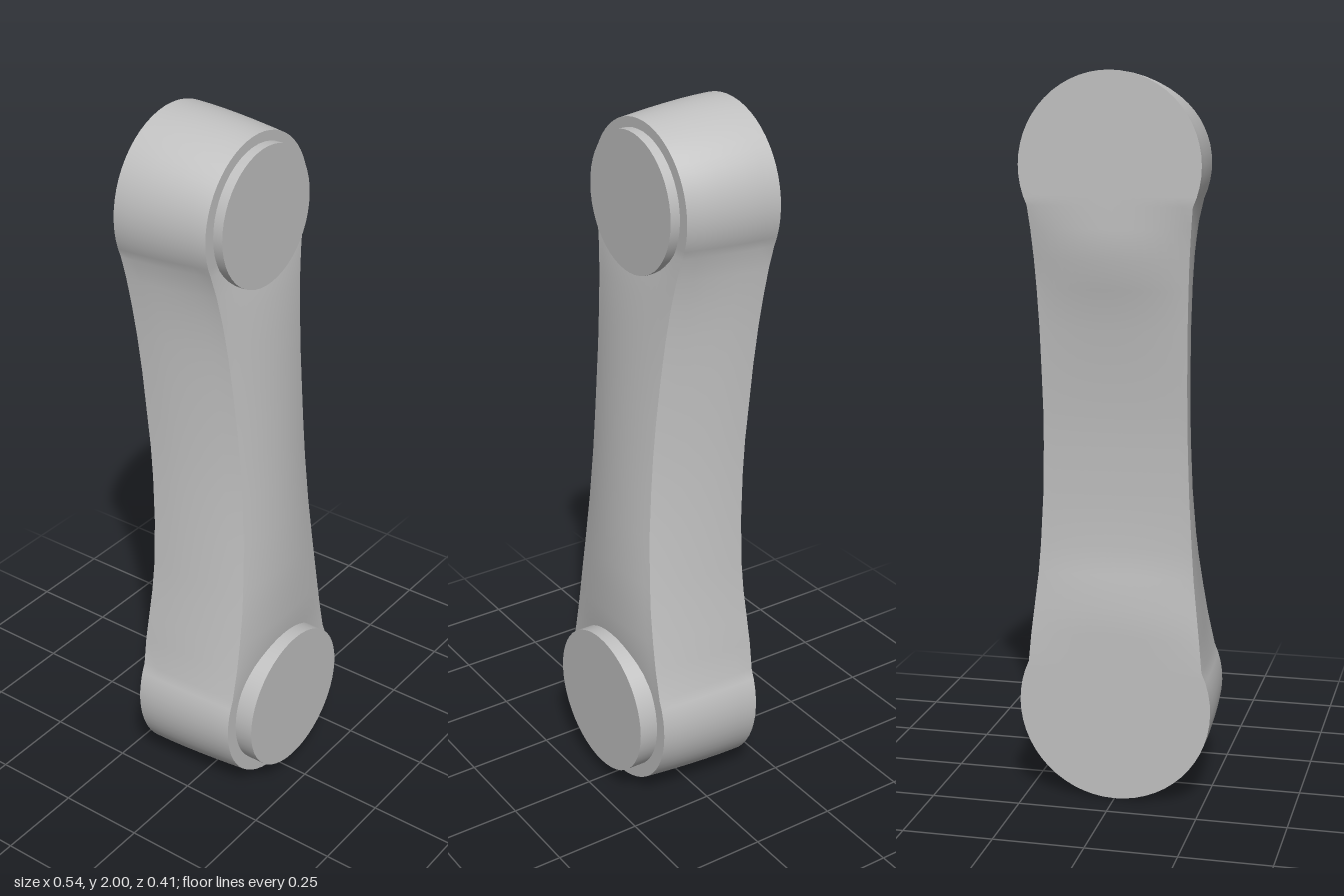
import * as THREE from 'three';

const metal = new THREE.MeshStandardMaterial({ color: 0xc0c0c0 });
metal.name = 'grey metal';

// Each row pairs a back edge point with a front edge point:
// half width, height, depth at the edge, depth at the centre line
const row = (wb, yb, zbEdge, zbMid, wf, yf, zfEdge, zfMid) => ({
  back: { w: wb, y: yb, edge: zbEdge, mid: zbMid },
  front: { w: wf, y: yf, edge: zfEdge, mid: zfMid },
});

// Round end of the arm as a series of rows
function arcRows(yc, rBack, rFront, zBack, zFront, from, to, n) {
  const rows = [];
  for (let i = 0; i <= n; i++) {
    const a = THREE.MathUtils.degToRad(from + ((to - from) * i) / n);
    const c = Math.max(0, Math.cos(a)), s = Math.sin(a);
    rows.push(row(rBack * c, yc + rBack * s, zBack, zBack, rFront * c, yc + rFront * s, zFront, zFront));
  }
  return rows;
}

// Smooth surface patch over (i, j)
function grid(rows, cols, point, flip) {
  const pos = [], index = [];
  for (let i = 0; i <= rows; i++)
    for (let j = 0; j <= cols; j++) pos.push(...point(i, j));
  for (let i = 0; i < rows; i++)
    for (let j = 0; j < cols; j++) {
      const a = i * (cols + 1) + j, b = a + 1, d = a + cols + 1, c = d + 1;
      if (flip) index.push(a, c, b, a, d, c);
      else index.push(a, b, c, a, c, d);
    }
  const g = new THREE.BufferGeometry();
  g.setAttribute('position', new THREE.Float32BufferAttribute(pos, 3));
  g.setIndex(index);
  g.computeVertexNormals();
  return g;
}

export function createModel() {
  const group = new THREE.Group();
  const add = (name, geometry) => {
    const mesh = new THREE.Mesh(geometry, metal);
    mesh.name = name;
    group.add(mesh);
    return mesh;
  };

  // Lower round end, waisted shank, upper round end
  const rows = [
    ...arcRows(0.272, 0.27, 0.25, -0.155, 0.15, -90, 25, 18),
    row(0.237, 0.47, -0.152, -0.155, 0.206, 0.47, 0.15, 0.165),
    row(0.228, 0.55, -0.146, -0.155, 0.192, 0.55, 0.149, 0.167),
    row(0.218, 0.64, -0.139, -0.143, 0.178, 0.64, 0.147, 0.167),
    row(0.212, 0.72, -0.135, -0.135, 0.168, 0.72, 0.143, 0.165),
    row(0.204, 0.86, -0.135, -0.135, 0.154, 0.86, 0.135, 0.157),
    row(0.2, 1.0, -0.14, -0.14, 0.148, 1.0, 0.125, 0.146),
    row(0.199, 1.1, -0.146, -0.146, 0.147, 1.1, 0.118, 0.138),
    row(0.2, 1.2, -0.155, -0.156, 0.149, 1.2, 0.11, 0.129),
    row(0.202, 1.32, -0.165, -0.169, 0.154, 1.32, 0.099, 0.117),
    row(0.206, 1.43, -0.176, -0.187, 0.162, 1.43, 0.089, 0.105),
    row(0.21, 1.51, -0.186, -0.207, 0.172, 1.52, 0.08, 0.093),
    row(0.216, 1.59, -0.197, -0.208, 0.186, 1.6, 0.072, 0.08),
    ...arcRows(1.755, 0.245, 0.222, -0.208, 0.065, -25, 90, 18),
  ];

  // Front and back faces, crowned between their edges
  const COLS = 16;
  const face = (side) => (i, j) => {
    const e = rows[i][side], s = (2 * j) / COLS - 1;
    return [e.w * s, e.y, e.mid + (e.edge - e.mid) * s * s];
  };
  add('armFront', grid(rows.length - 1, COLS, face('front'), false));
  add('armBack', grid(rows.length - 1, COLS, face('back'), true));

  // Wall around the rim, curving inward towards the front
  const loop = [
    ...rows.map((r) => [r, 1]),
    ...rows.slice(0, -1).reverse().map((r) => [r, -1]),
  ];
  const DEPTH = 6;
  add('armRim', grid(loop.length - 1, DEPTH, (i, j) => {
    const [{ back, front }, side] = loop[i];
    const f = j / DEPTH, k = Math.pow(f, 1.6);
    return [
      side * THREE.MathUtils.lerp(back.w, front.w, k),
      THREE.MathUtils.lerp(back.y, front.y, k),
      THREE.MathUtils.lerp(back.edge, front.edge, f),
    ];
  }, true));

  // Raised round caps on the front of both ends
  const cap = (name, y, radius, zBack, zFront) => {
    const mesh = add(name, new THREE.CylinderGeometry(radius, radius, zFront - zBack, 48));
    mesh.rotation.x = Math.PI / 2;
    mesh.position.set(0, y, (zBack + zFront) / 2);
  };
  cap('upperCap', 1.76, 0.19, 0.03, 0.093);
  cap('lowerCap', 0.275, 0.213, 0.1, 0.205);

  return group;
}
